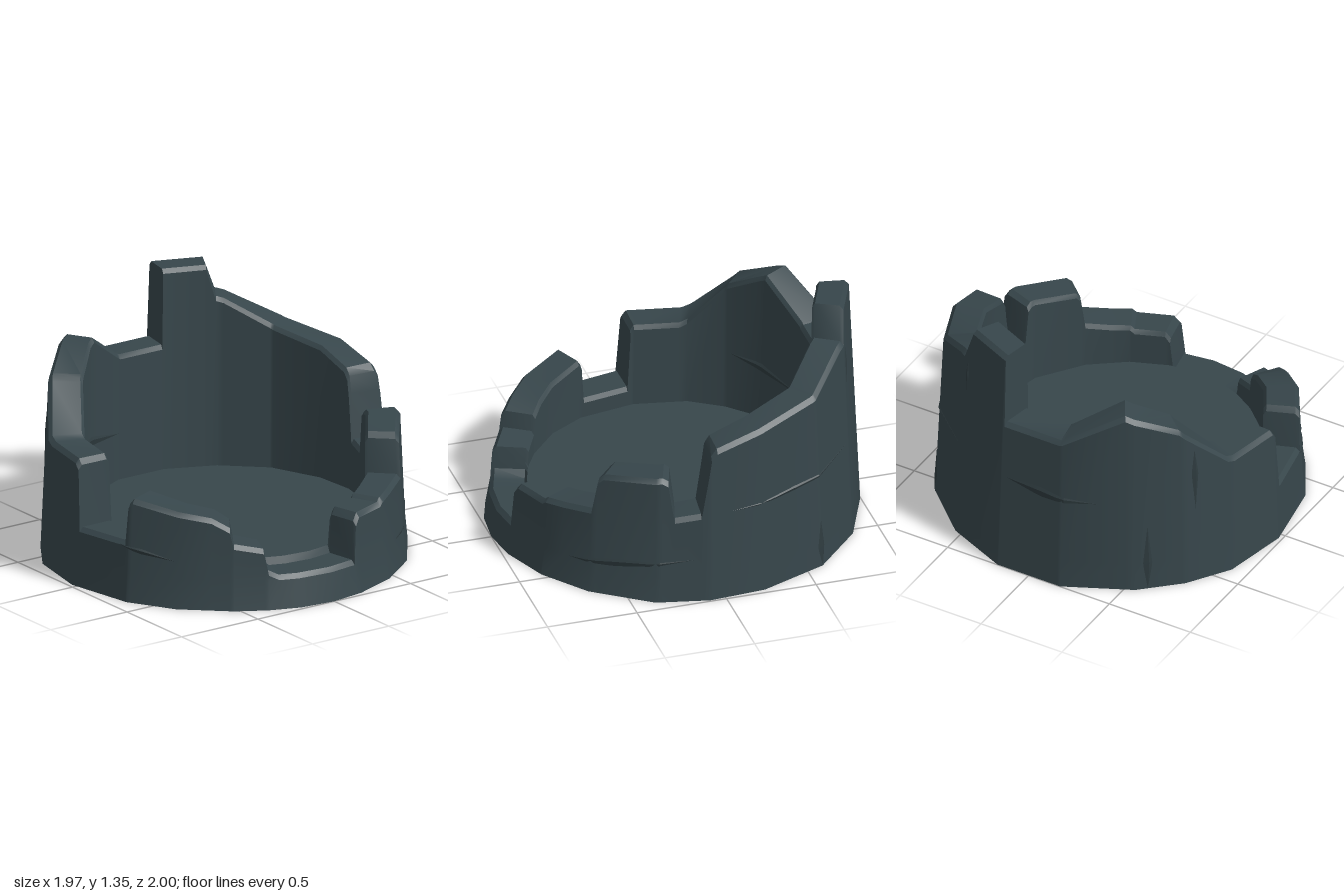
import * as THREE from 'three';
import { toCreasedNormals } from 'three/addons/utils/BufferGeometryUtils.js';

const RAD = Math.PI / 180;
const FLOOR = 0.22, INNER = 0.77;

// Broken skyline: [angle from the front towards +x, height]
const skyline = [
  [-18, 0.18], [10.3, 0.18], [11.5, 0.39], [13.5, 0.43], [26, 0.43], [27.5, 0.45], [35, 0.46], [46, 0.485],
  [48, 0.67], [50, 0.70], [70, 0.73], [72, 0.71], [74, 0.49], [82.5, 0.51], [86, 0.85], [88, 0.89],
  [103, 0.96], [125, 1.02], [126.5, 1.03], [145, 1.16], [148, 1.17], [152, 1.35], [169.4, 1.345], [169.8, 0.92],
  [190, 0.92], [211, 1.1], [229, 0.975], [231, 0.94], [246, 0.72], [249, 0.70], [267.5, 0.70], [269, 0.67],
  [270.5, 0.33], [290.5, 0.33], [291.5, 0.54], [293, 0.57], [320, 0.50], [326, 0.45], [327.3, 0.36],
  [337, 0.33], [338.5, 0.21], [342, 0.18],
];

// Uneven corners of the round plan: [angle, radius]
const corners = [
  [-22, 0.99], [-11.6, 1], [0, 1], [11.6, 0.99], [28, 0.98], [46, 0.98], [68, 1], [85, 0.995], [103, 0.995],
  [126, 1.01], [147.6, 1.007], [169, 1.017], [191, 1.017], [214, 0.993], [230, 0.987], [246, 0.993],
  [268, 0.98], [292, 0.98], [309, 0.98], [327, 0.98], [338, 0.99], [348.4, 1],
];

function heightAt(a) {
  for (let i = 1; i < skyline.length; i++) {
    const [a0, h0] = skyline[i - 1], [a1, h1] = skyline[i];
    if (a <= a1) return h0 + (h1 - h0) * (a - a0) / (a1 - a0);
  }
  return skyline[skyline.length - 1][1];
}

// Radius of the straight-sided plan at an angle
function planRadius(a) {
  const i = corners.findIndex(([c]) => c >= a);
  const [a1, r1] = corners[i], [a0, r0] = corners[Math.max(0, i - 1)];
  if (i === 0) return r1;
  return r0 * r1 * Math.sin((a1 - a0) * RAD)
    / (r0 * Math.sin((a - a0) * RAD) + r1 * Math.sin((a1 - a) * RAD));
}

function ringPoint(a, r, y) {
  const s = r * planRadius(a);
  return [s * Math.sin(a * RAD), y, s * Math.cos(a * RAD)];
}

// The outside leans in as it rises, with a flared foot at the front
function outerRadius(a, y) {
  return 1 - 0.045 * y - 0.022 * Math.max(0, Math.cos(a * RAD)) * Math.min(1, y / 0.16);
}

// Skin between cross-sections, each a list of points from bottom to top
function loft(sections, crease) {
  const positions = [];
  for (let i = 0; i < sections.length - 1; i++) {
    const s = sections[i], t = sections[i + 1];
    for (let j = 0; j < s.length - 1; j++) {
      positions.push(...s[j], ...t[j], ...t[j + 1], ...s[j], ...t[j + 1], ...s[j + 1]);
    }
  }
  const geometry = new THREE.BufferGeometry();
  geometry.setAttribute('position', new THREE.Float32BufferAttribute(positions, 3));
  return toCreasedNormals(geometry, crease * RAD);
}

// Wall cross-section: outer face, bevel, top, bevel, inner face
function wallSection(a) {
  const h = heightAt(a);
  const edge = h - 0.025;
  const r = outerRadius(a, edge);
  const foot = Math.min(0.16, edge - 0.005);
  return [
    [1, 0], [outerRadius(a, foot), foot], [r, edge], [r - 0.022, h],
    [INNER + 0.015, h], [INNER, Math.max(edge, FLOOR)], [INNER, FLOOR],
  ].map(([radius, y]) => ringPoint(a, radius, y));
}

// Thin wedge-shaped crack lying on the wall, from one end to the other
function crackGeometry(a0, y0, a1, y1, width, inside) {
  const steps = 12, sections = [];
  const upright = a1 === a0;
  for (let i = 0; i <= steps; i++) {
    const t = i / steps;
    const w = width * (t < 0.4 ? t / 0.4 : (1 - t) / 0.6);
    const a = a0 + (a1 - a0) * t, y = y0 + (y1 - y0) * t;
    sections.push([-0.5, 0.15, 0.5].map((k, j) => {
      const aa = upright ? a + k * w * 60 : a;
      const yy = upright ? y : y + k * w;
      const lift = j === 1 ? 0.007 * w / width + 0.002 : 0.002;
      return ringPoint(aa, inside ? INNER - lift : outerRadius(aa, yy) + lift, yy);
    }));
  }
  return loft(sections, 10);
}

export function createModel() {
  const group = new THREE.Group();
  const stone = new THREE.MeshStandardMaterial({ color: 0x37464b });
  stone.name = 'dark slate stone';
  const crackStone = new THREE.MeshStandardMaterial({ color: 0x2f3c40, side: THREE.DoubleSide });
  crackStone.name = 'crack stone';

  const add = (name, geometry, material) => {
    const mesh = new THREE.Mesh(geometry, material);
    mesh.name = name;
    group.add(mesh);
  };

  // Columns at each break in the skyline and each corner of the plan
  const angles = [...skyline, ...corners].map(([a]) => a).filter((a) => a >= -18 && a <= 342);
  angles.sort((p, q) => p - q);
  const columns = angles.filter((a, i) => i === 0 || a - angles[i - 1] > 0.05);

  add('ruinedWall', loft(columns.map(wallSection), 28), stone);

  // Floor inside the wall and the underside
  add('floor', loft(columns.map((a) => [ringPoint(a, INNER, FLOOR), [0, FLOOR, 0]]), 10), stone);
  add('underside', loft(columns.map((a) => [[0, 0, 0], ringPoint(a, 1, 0)]), 10), stone);

  // Cracks: start angle, start height, end angle, end height, width, inside
  const cracks = [
    [37, 0.16, 80, 0.245, 0.045], [92, 0.51, 150, 0.57, 0.025],
    [171, 0.58, 202, 0.54, 0.06], [288, 0.31, 308, 0.26, 0.03],
    [126, 0.0, 126, 0.28, 0.05], [218, 0.0, 218, 0.4, 0.05],
    [234, 0.84, 234, 0.46, 0.04], [150, 1.13, 150, 0.9, 0.03],
    [228, 0.56, 191, 0.48, 0.05, true],
  ];
  for (const crack of cracks) add('crack', crackGeometry(...crack), crackStone);

  return group;
}
